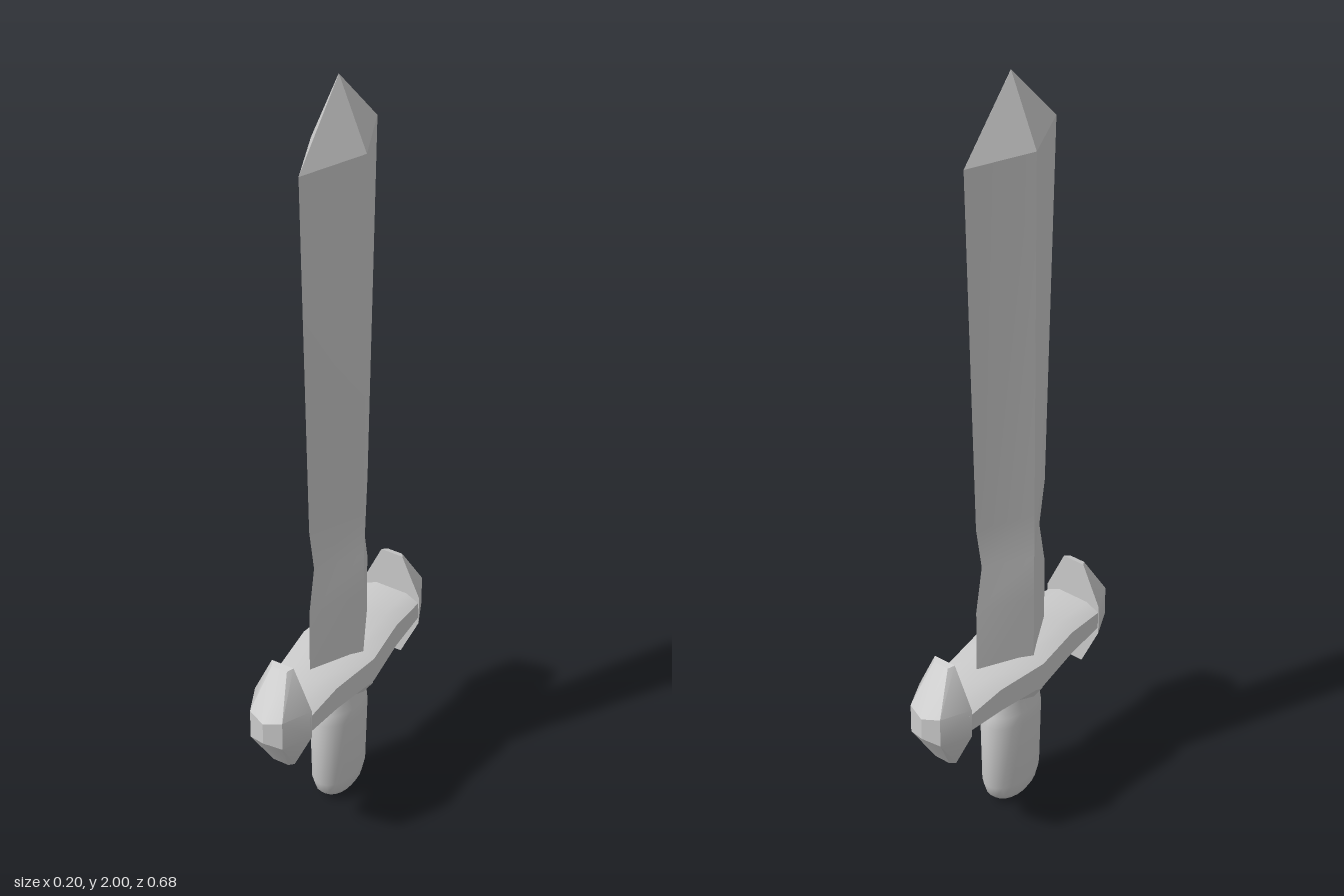
import * as THREE from 'three';
import { toCreasedNormals } from 'three/addons/utils/BufferGeometryUtils.js';
import { ConvexGeometry } from 'three/addons/geometries/ConvexGeometry.js';

const material = new THREE.MeshStandardMaterial({ color: 0xcccccc });

// Skin a list of rings (counter-clockwise seen from the last ring's end) and close both ends.
function loft(rings, crease) {
  const n = rings[0].length, pos = [];
  const tri = (...pts) => pts.forEach((p) => pos.push(...p));
  for (let i = 0; i < rings.length - 1; i++) {
    for (let j = 0; j < n; j++) {
      const k = (j + 1) % n;
      const [a, b, c, d] = [rings[i][j], rings[i][k], rings[i + 1][k], rings[i + 1][j]];
      tri(a, b, c);
      tri(a, c, d);
    }
  }
  const first = rings[0], last = rings[rings.length - 1];
  for (let j = 1; j < n - 1; j++) {
    tri(first[0], first[j + 1], first[j]);
    tri(last[0], last[j], last[j + 1]);
  }
  const g = new THREE.BufferGeometry();
  g.setAttribute('position', new THREE.Float32BufferAttribute(pos, 3));
  return toCreasedNormals(g, crease);
}

// Horizontal elliptical ring; four sides give a diamond.
function ring(y, rx, rz, sides) {
  return Array.from({ length: sides }, (_, i) => {
    const a = (i / sides) * Math.PI * 2;
    return [rx * Math.cos(a), y, -rz * Math.sin(a)];
  });
}

// Upright octagonal section of the crossguard bar.
function barRing(z, w, bottom, top) {
  const a = w * 0.55, lo = bottom + 0.017, hi = top - 0.017;
  return [[w, lo, z], [w, hi, z], [a, top, z], [-a, top, z],
    [-w, hi, z], [-w, lo, z], [-a, bottom, z], [a, bottom, z]];
}

function part(name, geometry) {
  const mesh = new THREE.Mesh(geometry, material);
  mesh.name = name;
  return mesh;
}

export function createModel() {
  const sword = new THREE.Group();
  sword.name = 'sword';

  // Blade: diamond section, pinched above the guard, widening to the point
  const blade = [[0.4, 0.07, 0.132], [0.64, 0.07, 0.132], [0.76, 0.07, 0.11],
    [0.88, 0.07, 0.13], [1.83, 0.07, 0.16], [2, 0.0005, 0.0005]];
  sword.add(part('blade', loft(blade.map(([y, x, z]) => ring(y, x, z, 4)), 0.35)));

  // Grip: rounded, oval in section
  const grip = [[0, 0.025, 0.04], [0.01, 0.038, 0.062], [0.03, 0.049, 0.08], [0.065, 0.056, 0.091],
    [0.26, 0.062, 0.093], [0.29, 0.059, 0.088], [0.33, 0.048, 0.074], [0.39, 0.045, 0.07]];
  sword.add(part('grip', loft(grip.map(([y, x, z]) => ring(y, x, z, 20)), 0.9)));

  // Crossguard: bar swelling at the centre, with a diamond collar below
  const guard = new THREE.Group();
  guard.name = 'crossguard';
  const bar = [[-0.255, 0.078, 0.38, 0.46], [-0.14, 0.081, 0.37, 0.468], [0, 0.1, 0.365, 0.468],
    [0.14, 0.081, 0.37, 0.468], [0.255, 0.078, 0.38, 0.46]];
  guard.add(part('guardBar', loft(bar.map((s) => barRing(...s)), 0.85)));
  guard.add(part('collar', loft([ring(0.335, 0.072, 0.126, 4), ring(0.375, 0.098, 0.142, 4),
    ring(0.42, 0.098, 0.142, 4)], 0.3)));

  // End caps: tall faceted knobs with a vertical ridge
  const corners = [[0.03, 0.15, 0.25], [0.08, 0.04, 0.25], [0.021, 0.146, 0.265],
    [0.045, 0.04, 0.325], [0, 0.03, 0.34]];
  for (const side of [1, -1]) {
    const pts = [];
    for (const [x, y, z] of corners) {
      for (const sx of x ? [1, -1] : [1]) {
        for (const sy of [1, -1]) pts.push(new THREE.Vector3(sx * x, 0.42 + sy * y, side * z));
      }
    }
    guard.add(part(side > 0 ? 'frontCap' : 'backCap', toCreasedNormals(new ConvexGeometry(pts), 0.4)));
  }
  sword.add(guard);
  return sword;
}
